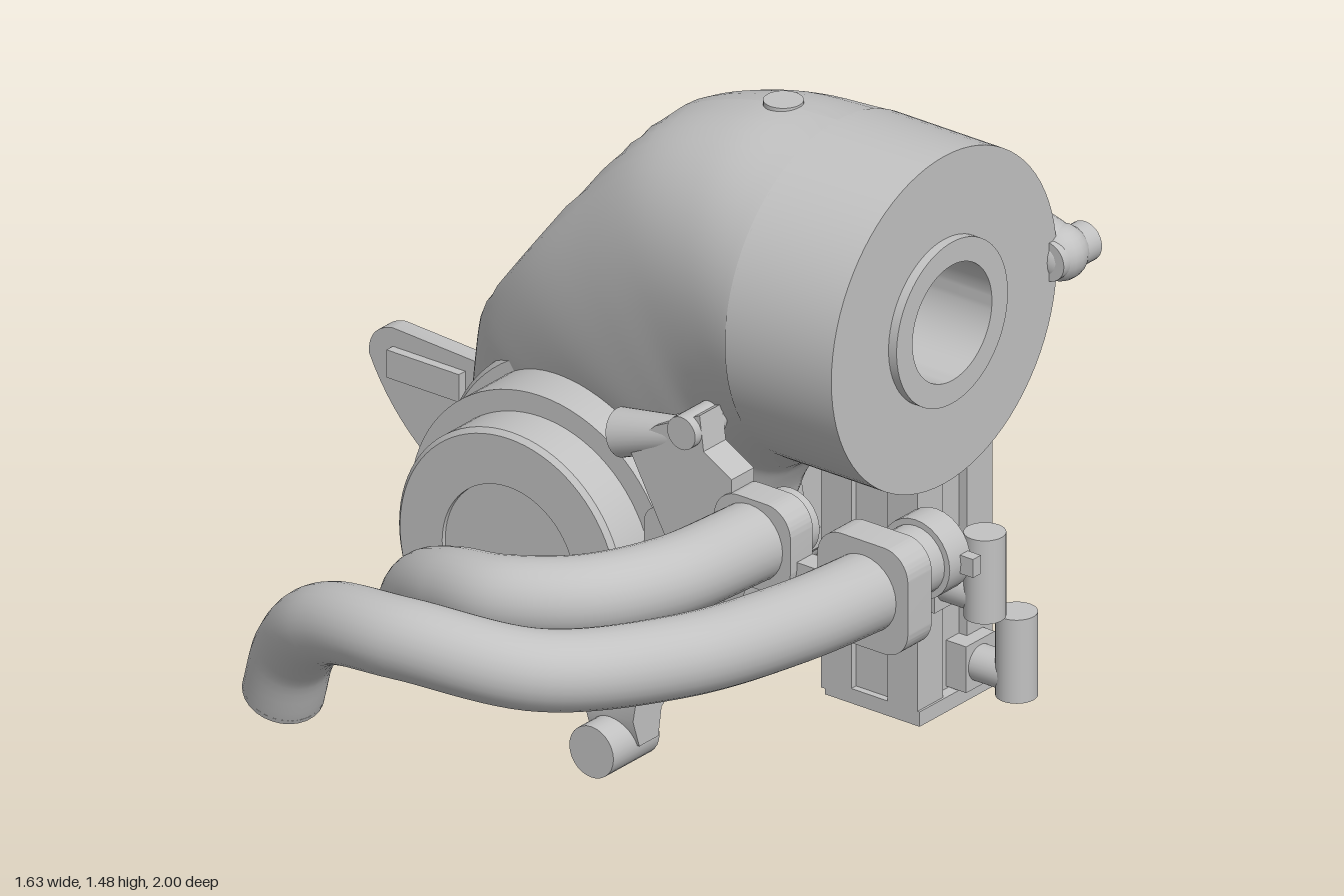
import * as THREE from 'three';
import { toCreasedNormals } from 'three/addons/utils/BufferGeometryUtils.js';

const V = (x, y, z) => new THREE.Vector3(x, y, z);

export function createModel() {
  const model = new THREE.Group();
  const grey = new THREE.MeshStandardMaterial({ color: 0xc2c2c2 });
  grey.name = 'machineGrey';

  const add = (name, geo) => {
    const m = new THREE.Mesh(geo, grey);
    m.name = name;
    model.add(m);
    return m;
  };
  // box given by its min and max corners
  const box = (name, [x0, x1], [y0, y1], [z0, z1]) =>
    add(name, new THREE.BoxGeometry(x1 - x0, y1 - y0, z1 - z0))
      .position.set((x0 + x1) / 2, (y0 + y1) / 2, (z0 + z1) / 2);
  // cylinder or cone between two points
  const rod = (name, a, b, r0, r1 = r0, sides = 28) => {
    const dir = b.clone().sub(a);
    const m = add(name, new THREE.CylinderGeometry(r1, r0, dir.length(), sides));
    m.position.copy(a).addScaledVector(dir, 0.5);
    m.quaternion.setFromUnitVectors(V(0, 1, 0), dir.normalize());
    return m;
  };
  // turned part, profile as [radius, height]
  const turned = (name, pts) =>
    add(name, toCreasedNormals(new THREE.LatheGeometry(pts.map(p => new THREE.Vector2(...p)), 80), 0.6));
  // flat outline in xy, pushed from z0 to z1
  const plate = (name, shape, z0, z1) => {
    const g = new THREE.ExtrudeGeometry(shape, { depth: z1 - z0, bevelEnabled: false, curveSegments: 16 });
    return add(name, toCreasedNormals(g.translate(0, 0, z0), 0.6));
  };
  const polygon = pts => new THREE.Shape(pts.map(p => new THREE.Vector2(...p)));
  const rounded = (x0, x1, y0, y1, r) => {
    const s = new THREE.Shape();
    s.absarc(x1 - r, y1 - r, r, 0, Math.PI / 2);
    s.absarc(x0 + r, y1 - r, r, Math.PI / 2, Math.PI);
    s.absarc(x0 + r, y0 + r, r, Math.PI, Math.PI * 1.5);
    s.absarc(x1 - r, y0 + r, r, Math.PI * 1.5, Math.PI * 2);
    return s;
  };

  // upper drum with its open hub
  const drum = turned('upperDrum', [[0.355, 0.335], [0.355, 0.6], [0.175, 0.6], [0.175, 0.62],
    [0.125, 0.62], [0.125, 0.36]]);
  drum.rotation.z = -Math.PI / 2;
  drum.position.set(0, 1.12, -0.34);

  // arm shell: outer edge with front depth, inner edge with back depth
  const outer = new THREE.CatmullRomCurve3([V(0.34, 1.475, 0.015), V(0.15, 1.465, -0.02), V(-0.04, 1.4, -0.05),
    V(-0.21, 1.25, -0.075), V(-0.37, 1.07, -0.105), V(-0.47, 0.89, -0.145), V(-0.505, 0.74, -0.18), V(-0.52, 0.53, -0.19)]);
  const inner = new THREE.CatmullRomCurve3([V(0.34, 0.765, -0.695), V(0.3, 0.74, -0.64), V(0.27, 0.72, -0.58),
    V(0.25, 0.69, -0.54), V(0.23, 0.65, -0.5), V(0.22, 0.62, -0.47), V(0.205, 0.57, -0.44), V(0.2, 0.5, -0.43)]);
  const S = 40, A = 56, pos = [], idx = [];
  for (let i = 0; i <= S; i++) {
    const t = i / S, o = outer.getPoint(t), n = inner.getPoint(t);
    const e = 1 - 0.45 * t; // sections grow squarer towards the wrist
    for (let j = 0; j <= A; j++) {
      const a = (j / A) * Math.PI * 2;
      const c = Math.sign(Math.cos(a)) * Math.abs(Math.cos(a)) ** e;
      const s = Math.sign(Math.sin(a)) * Math.abs(Math.sin(a)) ** e;
      const x = (o.x + n.x) / 2 + c * (o.x - n.x) / 2, y = (o.y + n.y) / 2 + c * (o.y - n.y) / 2;
      // flat facet cut across the outside of the bend
      const cut = Math.max(0, -0.783 * x + 0.623 * y - 0.902);
      pos.push(x + 0.783 * cut, y - 0.623 * cut, (o.z + n.z) / 2 + s * (o.z - n.z) / 2);
      // opening in the back for the elbow housing
      const open = t > 0.1 && t < 0.45 && Math.sin(a) < 0 && Math.cos(a) > -0.6 && Math.cos(a) < 0.35;
      if (i === S || j === A || open) continue;
      const p = i * (A + 1) + j, q = p + A + 1;
      idx.push(p, q, p + 1, q, q + 1, p + 1);
    }
  }
  const shell = new THREE.BufferGeometry();
  shell.setAttribute('position', new THREE.Float32BufferAttribute(pos, 3));
  shell.setIndex(idx);
  shell.computeVertexNormals();
  add('armShell', shell);
  rod('topBoss', V(0.2, 1.44, -0.34), V(0.2, 1.478, -0.34), 0.04);

  // lower wrist drum, stepped towards the front
  const wrist = turned('wristDrum', [[0, -0.43], [0.345, -0.43], [0.358, -0.4], [0.358, -0.18], [0.348, -0.165],
    [0.325, -0.165], [0.325, -0.03], [0.28, -0.03], [0.28, 0.06], [0.27, 0.07], [0.165, 0.07], [0.165, 0.06], [0, 0.06]]);
  wrist.rotation.x = Math.PI / 2;
  wrist.position.set(-0.16, 0.52, 0);

  // side mounting plate with bolts
  const ear = new THREE.Shape();
  ear.moveTo(-0.4, 0.68);
  ear.lineTo(-0.76, 0.7);
  ear.quadraticCurveTo(-0.82, 0.69, -0.82, 0.63);
  ear.quadraticCurveTo(-0.72, 0.41, -0.42, 0.32);
  plate('mountingPlate', ear, -0.365, -0.325);
  box('plateKey', [-0.76, -0.58], [0.6, 0.66], [-0.33, -0.305]);
  for (const [x, y] of [[-0.75, 0.62], [-0.59, 0.62], [-0.59, 0.49]]) {
    rod('plateBolt', V(x, y, -0.36), V(x, y, -0.415), 0.042);
    rod('boltSocket', V(x, y, -0.41), V(x, y, -0.42), 0.02, 0.02, 6);
  }

  // bottom lug, its arm drawn in side profile
  rod('lugPin', V(-0.1, 0.058, -0.115), V(-0.1, 0.058, -0.26), 0.055);
  const lug = plate('lugArm', polygon([[0.19, 0.2], [0.17, 0.12], [0.19, 0.06], [0.25, 0.06], [0.26, 0.12],
    [0.31, 0.155], [0.4, 0.17], [0.4, 0.22]]), -0.06, 0.06);
  lug.rotation.y = Math.PI / 2;
  lug.position.x = -0.1;

  // rear motor: grooved body, bevelled cap and knob
  const notched = h => {
    const quarter = [[h, h * 0.62], [h * 0.93, h * 0.65], [h * 0.93, h * 0.86], [h * 0.86, h * 0.93],
      [h * 0.65, h * 0.93], [h * 0.62, h]], pts = [];
    for (let k = 0; k < 4; k++) for (const [x, y] of quarter) {
      const c = [1, 0, -1, 0][k], s = [0, 1, 0, -1][k];
      pts.push([-0.16 + x * c - y * s, 0.53 + x * s + y * c]);
    }
    return polygon(pts);
  };
  const octagon = (h, k) => polygon([[h, -k], [h, k], [k, h], [-k, h], [-h, k], [-h, -k], [-k, -h], [k, -h]]
    .map(([x, y]) => [x - 0.16, y + 0.53]));
  plate('motorBody', notched(0.218), -0.78, -0.42);
  plate('motorCap', octagon(0.218, 0.14), -0.93, -0.78);
  plate('motorEndPlate', octagon(0.135, 0.1), -0.948, -0.93);
  rod('motorKnobBase', V(-0.16, 0.53, -0.94), V(-0.16, 0.53, -0.975), 0.062);
  rod('motorKnob', V(-0.16, 0.53, -0.97), V(-0.16, 0.53, -1), 0.045);

  // nozzle fittings under the motor
  for (const [x, y, z] of [[-0.16, 0.22, -0.8], [-0.15, 0.215, -0.55], [-0.25, 0.235, -0.5]]) {
    rod('motorFitting', V(x, 0.34, z), V(x, y, z), 0.035);
    rod('motorNozzle', V(x, y, z + 0.06), V(x, y, z - 0.08), 0.04);
  }

  // rear elbow housing lying along x
  rod('elbowHousing', V(0.05, 1.125, -0.66), V(0.36, 1.125, -0.66), 0.17);
  rod('elbowStep', V(0.02, 1.125, -0.66), V(0.05, 1.125, -0.66), 0.12);
  rod('elbowHexBolt', V(-0.01, 1.125, -0.66), V(0.02, 1.125, -0.66), 0.085, 0.085, 6);
  rod('elbowTopPin', V(0.23, 1.26, -0.66), V(0.23, 1.305, -0.66), 0.03);
  const fin = plate('elbowFin', polygon([[0.19, 0.8], [0.32, 0.8], [0.3, 0.875], [0.26, 0.875]]), -0.015, 0.015);
  fin.rotation.x = -Math.PI / 2;
  fin.position.y = 1.125;
  rod('elbowFlange', V(0.36, 1.125, -0.66), V(0.39, 1.125, -0.66), 0.165);
  for (const y of [1.22, 1.0]) rod('flangeEar', V(0.355, y, -0.76), V(0.4, y, -0.76), 0.04);
  rod('elbowCone', V(0.39, 1.125, -0.68), V(0.6, 1.125, -0.72), 0.125, 0.05);
  rod('elbowNub', V(0.595, 1.12, -0.67), V(0.595, 1.12, -0.79), 0.042);
  const dome = add('hubDome', new THREE.SphereGeometry(0.058, 20, 12));
  dome.position.set(0.588, 1.12, -0.72);

  // tapering neck and vertical actuator
  const neck = new THREE.BoxGeometry(0.22, 0.36, 0.22);
  const np = neck.attributes.position;
  for (let i = 0; i < np.count; i++) if (np.getY(i) > 0) { np.setX(i, np.getX(i) * 0.8); np.setZ(i, np.getZ(i) * 0.78); }
  neck.computeVertexNormals();
  add('actuatorNeck', neck).position.set(0.215, 0.9, -0.705);
  box('actuatorCollar', [0.09, 0.34], [0.63, 0.735], [-0.825, -0.585]);
  box('actuatorCore', [0.13, 0.32], [0.09, 0.64], [-0.8, -0.6]);
  for (const x of [0.1, 0.265]) for (const z of [-0.82, -0.665])
    box('actuatorRail', [x, x + 0.075], [0.08, 0.64], [z, z + 0.08]);
  box('actuatorFoot', [0.11, 0.345], [0.068, 0.1], [-0.82, -0.585]);

  // elbow fittings on the actuator side
  for (const [y, z] of [[0.365, -0.645], [0.155, -0.745]]) {
    box('fittingBlock', [0.3, 0.37], [y - 0.05, y + 0.05], [z - 0.045, z + 0.045]);
    rod('fittingStem', V(0.36, y, z), V(0.46, y, z), 0.038);
    rod('fittingCap', V(0.46, y - 0.043, z), V(0.46, y + 0.138, z), 0.042);
  }

  // two curved hoses with closed ends
  const hose = (name, pts) => {
    const c = new THREE.CatmullRomCurve3(pts);
    add(name, new THREE.TubeGeometry(c, 64, 0.082, 28));
    rod(name + 'End', pts[0], pts[0].clone().addScaledVector(c.getTangent(0), 0.01), 0.082);
  };
  hose('outerHose', [V(-0.155, 0.515, 0.785), V(-0.1, 0.64, 0.815), V(0.03, 0.755, 0.88), V(0.25, 0.8, 0.915),
    V(0.5, 0.77, 0.815), V(0.64, 0.74, 0.55), V(0.69, 0.715, 0.25), V(0.7, 0.7, 0)]);
  hose('innerHose', [V(-0.155, 0.52, 0.37), V(-0.08, 0.62, 0.43), V(0.05, 0.69, 0.495), V(0.18, 0.72, 0.515),
    V(0.31, 0.73, 0.44), V(0.39, 0.73, 0.28), V(0.41, 0.72, 0)]);

  // hose clamp plates and stubs
  plate('outerClamp', rounded(0.585, 0.81, 0.585, 0.815, 0.06), -0.035, 0.04);
  plate('innerClamp', rounded(0.32, 0.51, 0.625, 0.815, 0.06), -0.04, 0.03);
  box('clampBridge', [0.48, 0.62], [0.62, 0.7], [-0.04, 0.01]);
  rod('outerStub', V(0.695, 0.71, -0.03), V(0.695, 0.71, -0.13), 0.072);
  rod('outerStubCollar', V(0.695, 0.71, -0.13), V(0.695, 0.71, -0.195), 0.085);
  box('stubTab', [0.76, 0.81], [0.69, 0.73], [-0.19, -0.165]);
  rod('innerStub', V(0.41, 0.72, -0.03), V(0.41, 0.72, -0.1), 0.07);

  // clamp linkage beside the wrist drum
  plate('linkPlate', polygon([[0.1, 0.84], [0.17, 0.9], [0.28, 0.955], [0.29, 0.88], [0.36, 0.84], [0.36, 0.62],
    [0.32, 0.52], [0.25, 0.52], [0.22, 0.62]]), -0.045, 0.025);
  rod('linkPin', V(0.25, 0.915, -0.055), V(0.25, 0.915, 0.045), 0.035);
  rod('linkHandle', V(0.06, 0.84, -0.01), V(0.2, 0.88, -0.01), 0.05, 0.035);
  rod('linkPivot', V(0.285, 0.53, 0), V(0.285, 0.48, 0), 0.055);
  rod('linkPivotTip', V(0.285, 0.48, 0), V(0.285, 0.43, 0), 0.035);
  plate('latch', rounded(0.11, 0.19, 0.43, 0.7, 0.04), -0.06, -0.015);

  return model;
}
